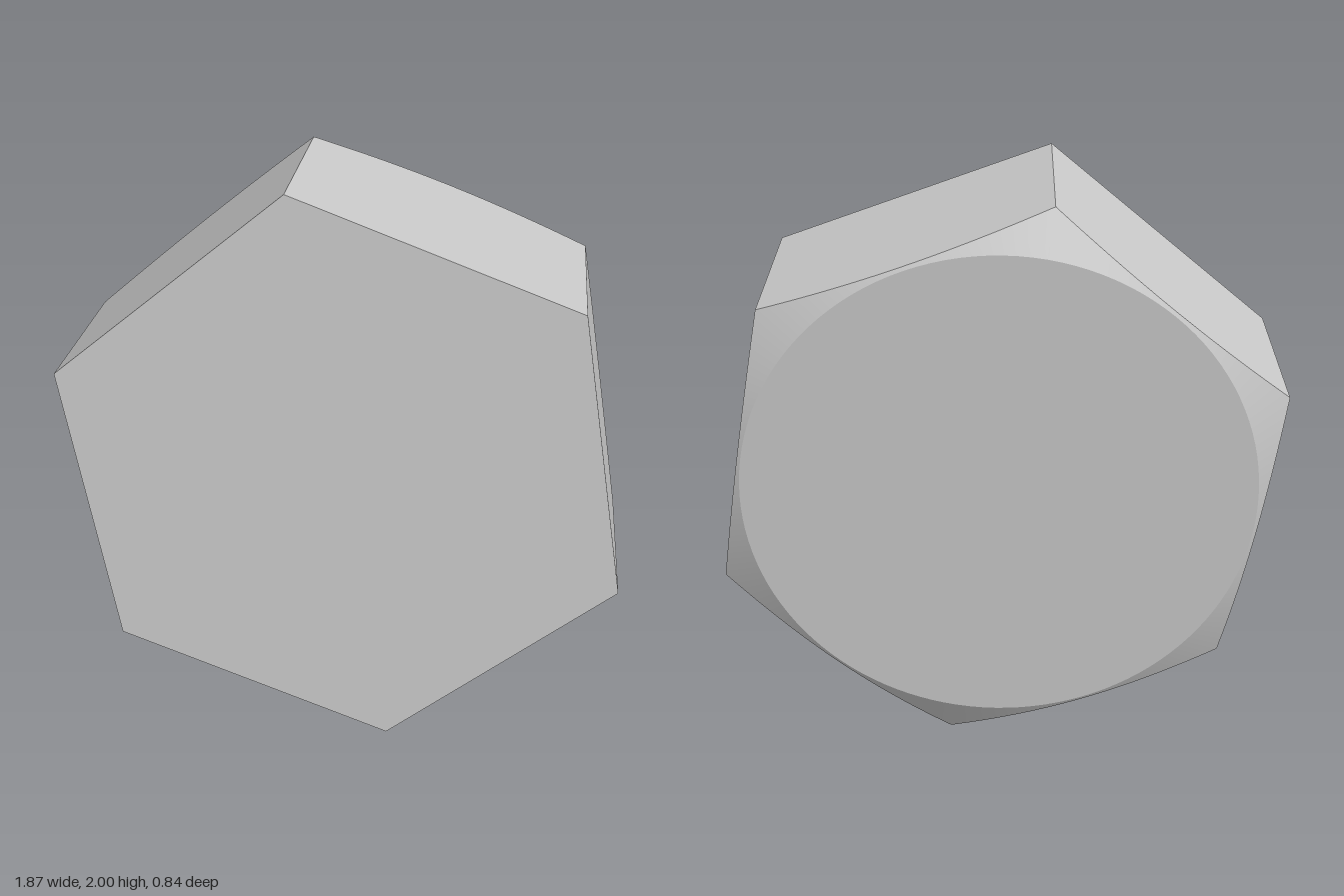
import * as THREE from 'three';
import { toCreasedNormals } from 'three/addons/utils/BufferGeometryUtils.js';

const R = 0.9954;                        // hexagon corner radius
const APOTHEM = R * Math.cos(Math.PI / 6);
const DEPTH = 0.711;                     // full thickness
const FLAT_R = 0.85;                     // round flat on the chamfered end
const SLOPE = 0.477;                     // chamfer cone drop per unit radius
const SEG = 20;                          // steps along each hexagon side
const N = SEG * 6;

// Hexagon outline sampled so each corner is hit exactly
function outline(i) {
  const step = Math.PI / 3;
  const local = ((i % SEG) / SEG - 0.5) * step;
  const a = THREE.MathUtils.degToRad(100) + (i / SEG) * step;
  return { a, r: APOTHEM / Math.cos(local) };
}

// Cross-section at outline step i, from front centre to back centre
function section(i) {
  const { a, r } = outline(i % N);
  return [
    [0, 0],
    [r, 0],
    [r, -(DEPTH - SLOPE * (r - FLAT_R))],
    [FLAT_R, -DEPTH],
    [0, -DEPTH],
  ].map(([rad, z]) => [rad * Math.cos(a), rad * Math.sin(a), z]);
}

function hexHeadGeometry() {
  const pos = [];
  for (let i = 0; i < N; i++) {
    const s = section(i), t = section(i + 1);
    for (let j = 0; j < 4; j++) {
      if (j < 3) pos.push(...s[j], ...s[j + 1], ...t[j + 1]);
      if (j > 0) pos.push(...s[j], ...t[j + 1], ...t[j]);
    }
  }
  const geo = new THREE.BufferGeometry();
  geo.setAttribute('position', new THREE.Float32BufferAttribute(pos, 3));
  return toCreasedNormals(geo, 0.3);
}

export function createModel() {
  const group = new THREE.Group();
  group.name = 'hexNutBlank';

  // Hexagonal block with one conically chamfered end, tipped slightly back
  const head = new THREE.Mesh(
    hexHeadGeometry(),
    new THREE.MeshStandardMaterial({ color: 0xcccccc })
  );
  head.name = 'hexHead';
  head.rotation.x = -0.069;
  head.position.set(0, 1.022, 0.35);
  group.add(head);
  return group;
}
